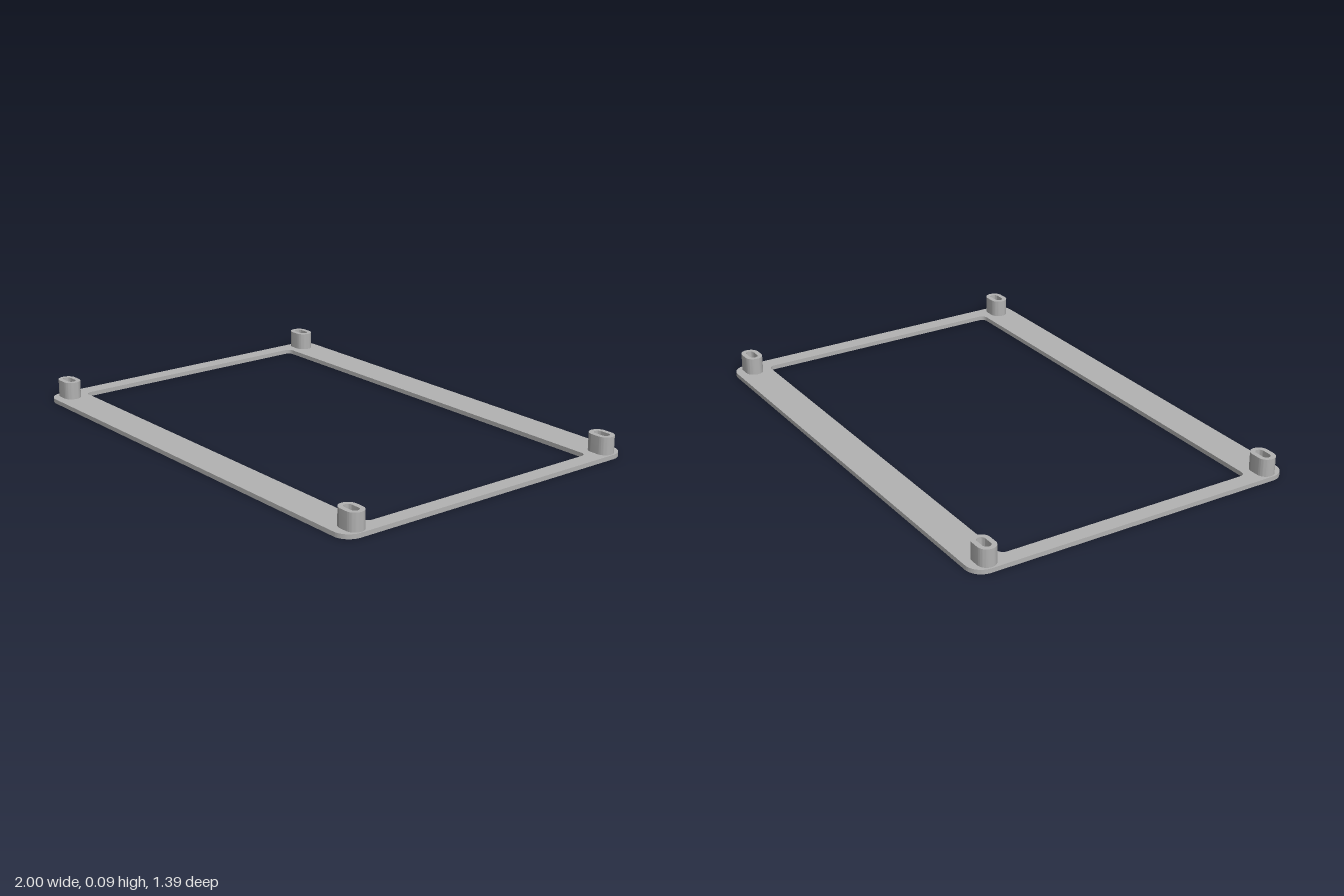
import * as THREE from 'three';
import { toCreasedNormals } from 'three/addons/utils/BufferGeometryUtils.js';

const PLATE = 0.018, TOP = 0.09; // plate thickness, overall height
const POST_X = 0.94, POST_Z = 0.62;

// Rounded rectangle centred on (cx, cy), with half sizes hx, hy and corner radius r
function roundedRect(target, hx, hy, r, cx = 0, cy = 0) {
  const corners = [[1, 1], [-1, 1], [-1, -1], [1, -1]];
  corners.forEach(([sx, sy], i) => {
    const a = i * Math.PI / 2;
    target.absarc(cx + sx * (hx - r), cy + sy * (hy - r), r, a, a + Math.PI / 2, false);
  });
  target.closePath();
  return target;
}

// Slot hole shared by the plate and the posts
const slot = (cx, cy) => roundedRect(new THREE.Path(), 0.035, 0.017, 0.0169, cx, cy);

// Extrude an outline upward from height y
function extrudeUp(shape, height, y) {
  const g = new THREE.ExtrudeGeometry(shape, { depth: height, bevelEnabled: false, curveSegments: 10 });
  g.rotateX(-Math.PI / 2).translate(0, y, 0);
  return toCreasedNormals(g, Math.PI / 5);
}

export function createModel() {
  const group = new THREE.Group();
  const grey = new THREE.MeshStandardMaterial({ color: 0xb2b2b2 });
  grey.name = 'plain grey';

  const add = (name, geometry) => {
    const mesh = new THREE.Mesh(geometry, grey);
    mesh.name = name;
    group.add(mesh);
    return mesh;
  };

  // Flat frame with a large window and four slots
  const frame = roundedRect(new THREE.Shape(), 1, 0.693, 0.066);
  frame.holes.push(roundedRect(new THREE.Path(), 0.933, 0.547, 0.025));

  // Slotted oval posts at the corners
  const oval = roundedRect(new THREE.Shape(), 0.054, 0.037, 0.0369);
  oval.holes.push(slot(0, 0));
  const postGeometry = extrudeUp(oval, TOP - PLATE, PLATE);

  for (const sx of [1, -1]) {
    for (const sz of [1, -1]) {
      frame.holes.push(slot(sx * POST_X, -sz * POST_Z));
      const name = (sz > 0 ? 'front' : 'back') + (sx > 0 ? 'Left' : 'Right') + 'Post';
      add(name, postGeometry).position.set(sx * POST_X, 0, sz * POST_Z);
    }
  }
  add('framePlate', extrudeUp(frame, PLATE, 0));
  return group;
}
